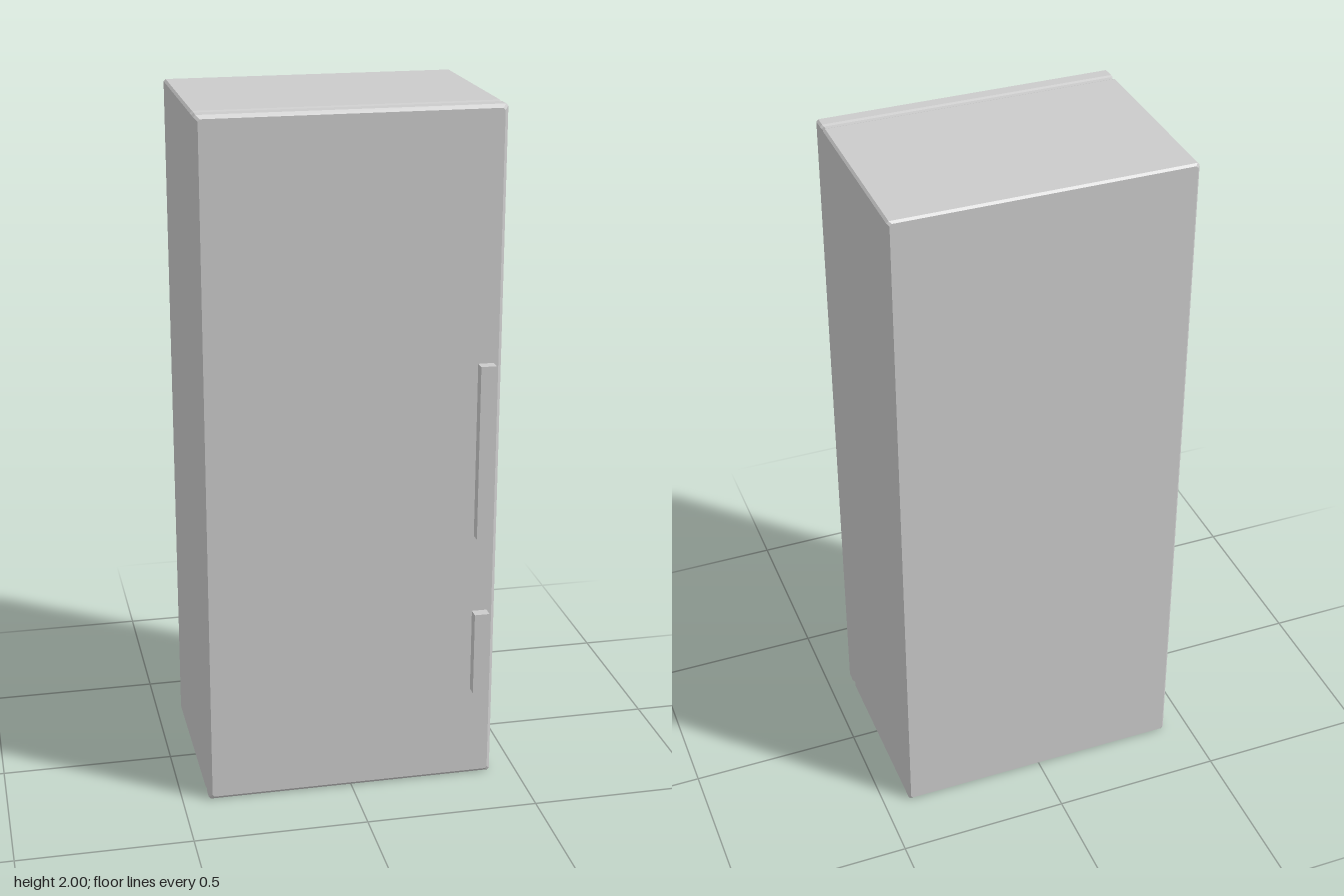
import * as THREE from 'three';

const material = new THREE.MeshStandardMaterial({ color: 0xcccccc, flatShading: true });

// Rectangle with chamfered corners, counter-clockwise seen from the front
function section(z, inset) {
  const w = 0.424 - inset, h = 1 - inset, c = 0.006;
  return [
    [w, -h + c], [w, h - c], [w - c, h], [-w + c, h],
    [-w, h - c], [-w, -h + c], [-w + c, -h], [w - c, -h],
  ].map(([x, y]) => [x, y + 1, z]);
}

// Closed skin through a row of sections running from back to front
function loft(sections) {
  const n = sections[0].length, last = sections.length - 1;
  const index = [];
  for (let i = 0; i < last; i++) {
    for (let j = 0; j < n; j++) {
      const a = i * n + j, b = i * n + (j + 1) % n;
      index.push(a, b, b + n, a, b + n, a + n);
    }
  }
  for (let j = 1; j < n - 1; j++) {
    index.push(0, j + 1, j);
    index.push(last * n, last * n + j, last * n + j + 1);
  }
  const geometry = new THREE.BufferGeometry();
  geometry.setAttribute('position', new THREE.Float32BufferAttribute(sections.flat(2), 3));
  geometry.setIndex(index);
  const flat = geometry.toNonIndexed();
  flat.computeVertexNormals();
  return flat;
}

export function createModel() {
  const model = new THREE.Group();
  model.name = 'refrigerator';

  // Cabinet and door: bevelled ends and a shallow seam groove between them
  const profile = [
    [-0.318, 0.006], [-0.312, 0], [0.215, 0], [0.222, 0.003],
    [0.235, 0.003], [0.242, 0], [0.276, 0], [0.285, 0.01],
  ];
  const cabinet = new THREE.Mesh(loft(profile.map(([z, inset]) => section(z, inset))), material);
  cabinet.name = 'cabinet';
  model.add(cabinet);

  // Long upper and short lower door handles
  for (const [name, bottom, top] of [['upperHandle', 0.765, 1.28], ['lowerHandle', 0.28, 0.53]]) {
    const handle = new THREE.Mesh(new THREE.BoxGeometry(0.044, top - bottom, 0.036), material);
    handle.position.set(0.378, (top + bottom) / 2, 0.299);
    handle.name = name;
    model.add(handle);
  }
  return model;
}
